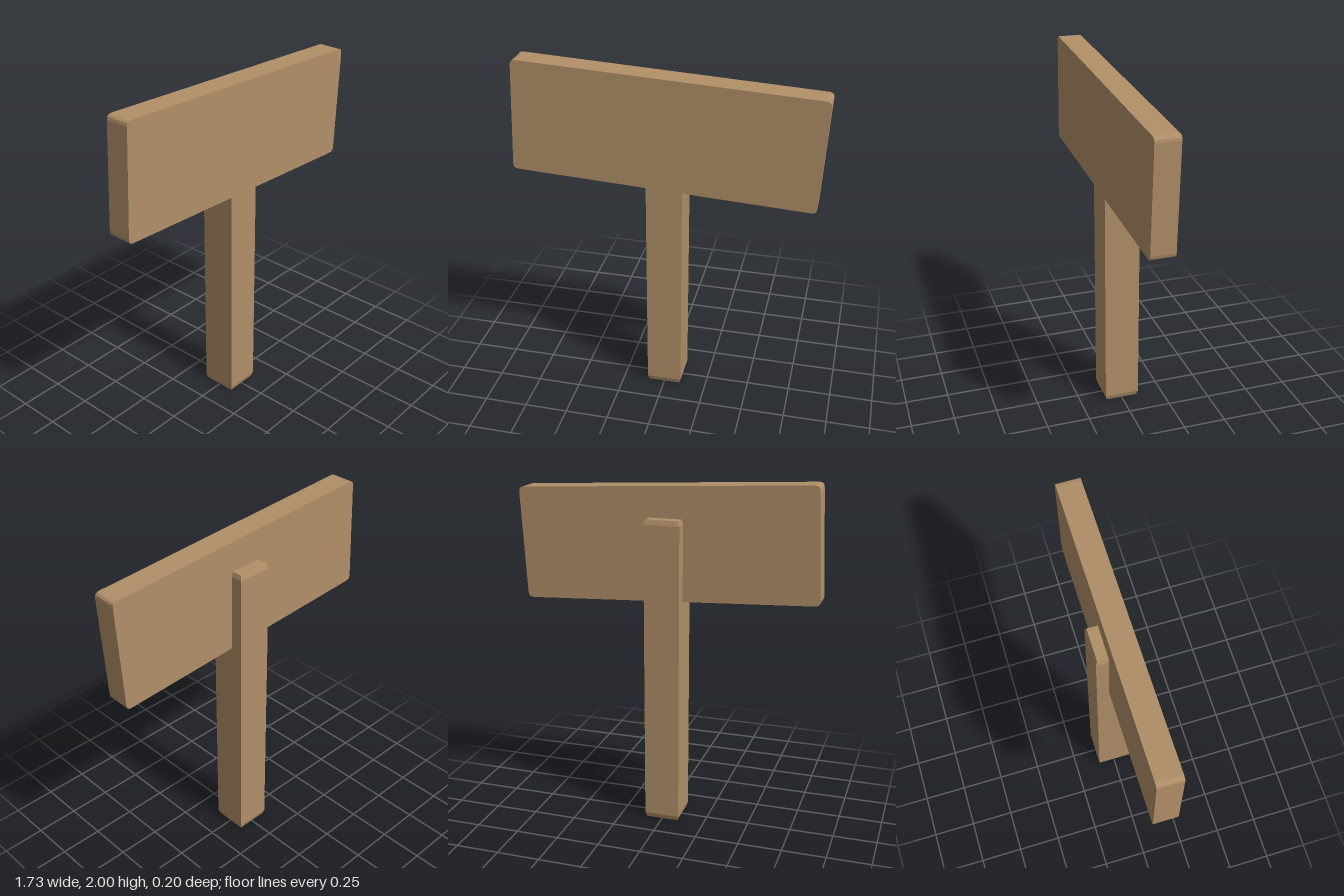
import * as THREE from 'three';

const TILT = -0.05;
const BOARD = { width: 1.7, height: 0.64, back: -0.034, front: 0.102, centerY: 1.64, corner: 0.028 };

// Rectangle with softened corners, centred on the origin
function softRectangle(w, h, r) {
  const x = w / 2, y = h / 2;
  const s = new THREE.Shape();
  s.moveTo(-x + r, -y);
  s.lineTo(x - r, -y);
  s.quadraticCurveTo(x, -y, x, -y + r);
  s.lineTo(x, y - r);
  s.quadraticCurveTo(x, y, x - r, y);
  s.lineTo(-x + r, y);
  s.quadraticCurveTo(-x, y, -x, y - r);
  s.lineTo(-x, -y + r);
  s.quadraticCurveTo(-x, -y, -x + r, -y);
  return s;
}

// Flat-sided loft through rectangular rings, listed from bottom to top
function loftRings(rings) {
  const positions = [], index = [];
  for (const { y, half, back, front, slope = 0 } of rings) {
    for (const [x, z] of [[-half, back], [half, back], [half, front], [-half, front]]) {
      positions.push(x, y + x * slope, z);
    }
  }
  for (let r = 0; r < rings.length - 1; r++) {
    for (let i = 0; i < 4; i++) {
      const a = r * 4 + i, b = r * 4 + (i + 1) % 4;
      index.push(a, a + 4, b + 4, a, b + 4, b);
    }
  }
  const t = (rings.length - 1) * 4;
  index.push(0, 1, 2, 0, 2, 3, t, t + 2, t + 1, t, t + 3, t + 2);
  const indexed = new THREE.BufferGeometry();
  indexed.setAttribute('position', new THREE.Float32BufferAttribute(positions, 3));
  indexed.setIndex(index);
  const geometry = indexed.toNonIndexed();
  geometry.computeVertexNormals();
  return geometry;
}

export function createModel() {
  const group = new THREE.Group();
  group.name = 'woodenSign';
  const wood = new THREE.MeshStandardMaterial({ color: 0xb08f68 });
  wood.name = 'wood';

  // Tilted sign board
  const boardGeometry = new THREE.ExtrudeGeometry(
    softRectangle(BOARD.width, BOARD.height, BOARD.corner),
    { depth: BOARD.front - BOARD.back, bevelEnabled: false, curveSegments: 3 }
  );
  const board = new THREE.Mesh(boardGeometry, wood);
  board.name = 'signBoard';
  board.position.set(0, BOARD.centerY, BOARD.back);
  board.rotation.z = TILT;
  group.add(board);

  // Square post, tapered at both ends and notched to hold the board
  const h = 0.102, e = 0.093;
  const notchY = BOARD.centerY - BOARD.height / 2 / Math.cos(TILT);
  const slope = Math.tan(TILT);
  const post = new THREE.Mesh(loftRings([
    { y: 0, half: e, back: -e, front: e },
    { y: 0.028, half: h, back: -h, front: h },
    { y: notchY, half: h, back: -h, front: h, slope },
    { y: notchY, half: h, back: -h, front: BOARD.back + 0.01, slope },
    { y: 1.757, half: h, back: -h, front: BOARD.back + 0.01 },
    { y: 1.785, half: e, back: -e, front: BOARD.back + 0.01 },
  ]), wood);
  post.name = 'post';
  group.add(post);

  return group;
}
